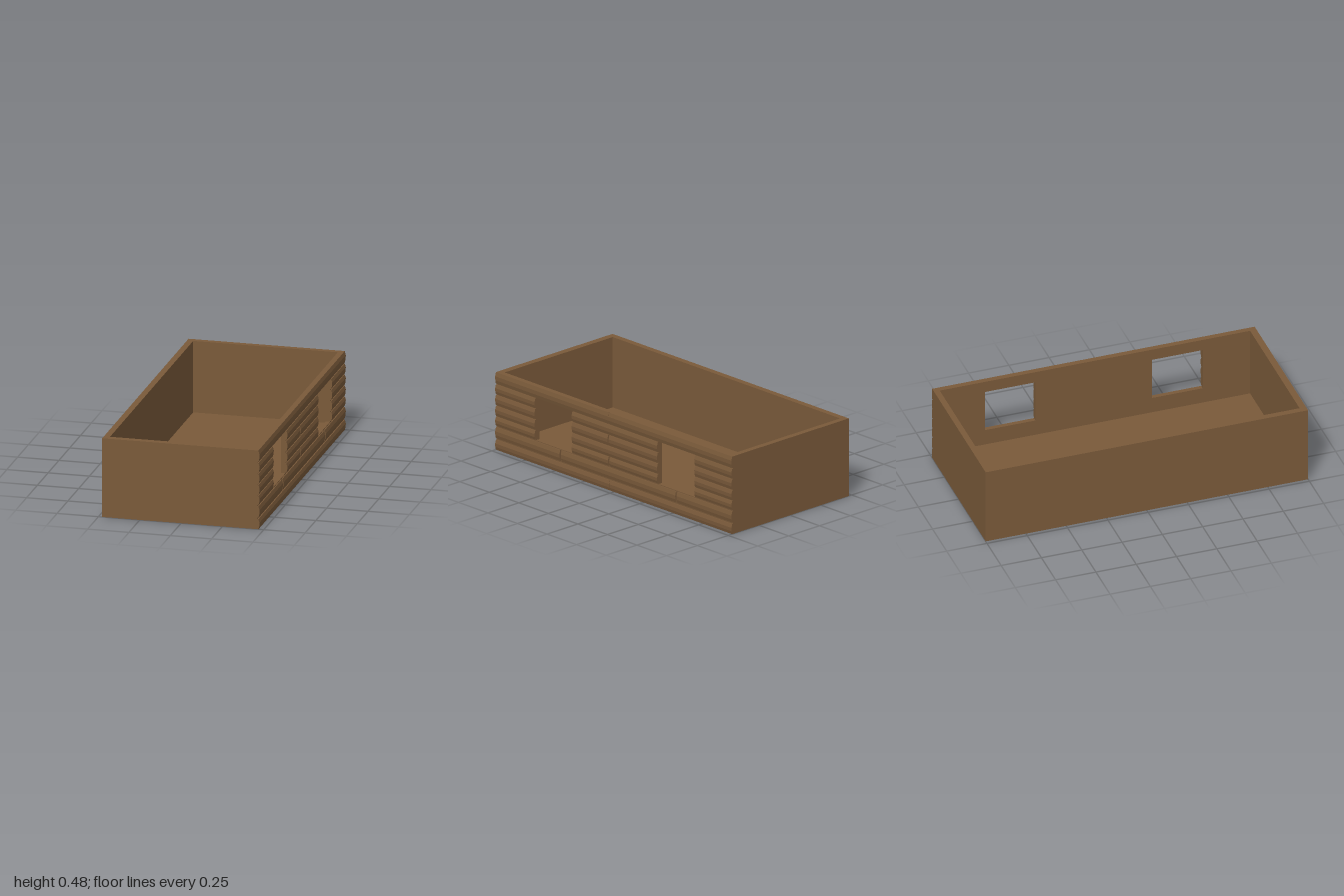
import * as THREE from 'three';

const H = 0.483, FLOOR = 0.045;
const X0 = -0.477, XI0 = -0.44, XI1 = 0.435, XCORE = 0.462;
const ZI0 = -0.965, ZI1 = 0.96;
const SILL = 0.145, LINTEL = 0.412;
const WINDOWS = [[-0.685, -0.37], [0.353, 0.667]];   // z ranges, back to front

const polygon = (pts, Type = THREE.Shape) => new Type(pts.map(([a, b]) => new THREE.Vector2(a, b)));
const extrude = (shape, depth) => new THREE.ExtrudeGeometry(shape, { depth, bevelEnabled: false });

export function createModel() {
  const group = new THREE.Group();
  const brown = new THREE.MeshStandardMaterial({ color: 0x7a5a3a, flatShading: true });
  brown.name = 'brown wood';

  const add = (geometry, name, parent = group) => {
    const mesh = new THREE.Mesh(geometry, brown);
    mesh.name = name;
    parent.add(mesh);
    return mesh;
  };

  // Floor slab
  const floor = add(new THREE.BoxGeometry(XI1 - XI0, FLOOR, ZI1 - ZI0), 'floor');
  floor.position.set((XI0 + XI1) / 2, FLOOR / 2, (ZI0 + ZI1) / 2);

  // Three plain walls as one U-shaped plan raised upward
  const plan = [[XI1, -1], [XI1, ZI0], [XI0, ZI0], [XI0, ZI1], [XI1, ZI1], [XI1, 1], [X0, 1], [X0, -1]];
  const plain = extrude(polygon(plan.map(([x, z]) => [x, -z])), H);
  plain.rotateX(-Math.PI / 2);
  add(plain, 'plainWalls');

  // Window wall core
  const wall = polygon([[-1, 0], [1, 0], [1, H], [-1, H]]);
  for (const [a, b] of WINDOWS) {
    wall.holes.push(polygon([[-a, SILL], [-a, LINTEL], [-b, LINTEL], [-b, SILL]], THREE.Path));
  }
  const core = extrude(wall, XCORE - XI1);
  core.rotateY(Math.PI / 2);
  core.translate(XI1, 0, 0);
  add(core, 'windowWall');

  // Slightly bulging planks, split at the joints and the windows
  const planks = new THREE.Group();
  planks.name = 'planks';
  group.add(planks);
  const rows = [0, 0.067, SILL, 0.208, 0.275, 0.343, 0.409, H];
  const joints = [[0.035], [-0.53, 0.45], [0.04], [], [0.045], [], [0.045]];
  const gaps = [0.002, 0.012, 0.01, 0, 0.01, 0, 0.002];

  joints.forEach((cuts, i) => {
    const y0 = rows[i] + (i === 0 ? 0 : i < 3 ? 0.005 : 0.003);
    const y1 = rows[i + 1] - (i === 6 ? 0 : i < 2 ? 0.005 : 0.003);
    const h = y1 - y0;
    const profile = polygon([
      [XCORE, y0], [0.468, y0], [0.473, y0 + h * 0.3], [0.474, y0 + h * 0.65],
      [0.468, y1], [XCORE, y1],
    ]);
    const spans = cuts.map((z) => [z - gaps[i] / 2, z + gaps[i] / 2]);
    if (i >= 2 && i <= 5) spans.push(...WINDOWS);
    spans.sort((a, b) => a[0] - b[0]);
    let start = -1;
    for (const [a, b] of [...spans, [1, 1]]) {
      add(extrude(profile, a - start), 'plank', planks).position.z = start;
      start = b;
    }
  });

  return group;
}
